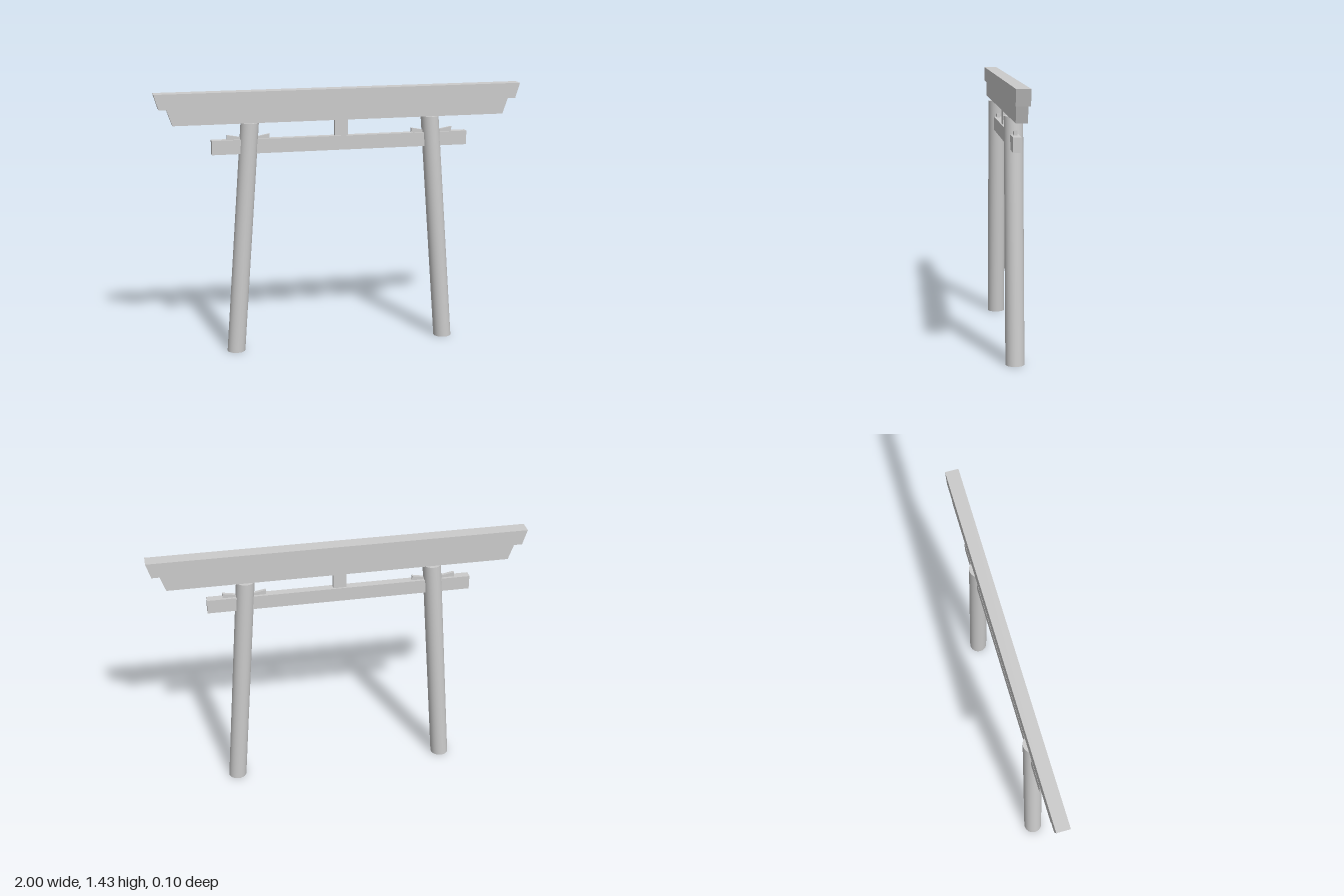
import * as THREE from 'three';

const material = new THREE.MeshStandardMaterial({ color: 0xcccccc });

function addPart(group, name, geometry) {
  const mesh = new THREE.Mesh(geometry, material);
  mesh.name = name;
  group.add(mesh);
  return mesh;
}

// Extrudes a front outline to a depth centred on z = 0
function slab(points, depth) {
  const shape = new THREE.Shape(points.map(([x, y]) => new THREE.Vector2(x, y)));
  const geometry = new THREE.ExtrudeGeometry(shape, { depth, bevelEnabled: false });
  return geometry.translate(0, 0, -depth / 2);
}

// Beam whose ends may flare outward towards the top
function beam(bottomHalf, topHalf, y0, y1, depth) {
  return slab([[-bottomHalf, y0], [bottomHalf, y0], [topHalf, y1], [-topHalf, y1]], depth);
}

// Round pillar sheared inward, keeping its ends level
function pillar(radius, height, xBottom, xTop) {
  const geometry = new THREE.CylinderGeometry(radius, radius, height, 24);
  geometry.translate(0, height / 2, 0);
  const lean = (xTop - xBottom) / height;
  const shear = new THREE.Matrix4().set(
    1, lean, 0, xBottom,
    0, 1, 0, 0,
    0, 0, 1, 0,
    0, 0, 0, 1
  );
  return geometry.applyMatrix4(shear);
}

export function createModel() {
  const group = new THREE.Group();
  group.name = 'gate';

  // Stacked top beams, tie beam and centre strut
  addPart(group, 'topBeam', beam(0.975, 1.0, 1.35, 1.432, 0.072));
  addPart(group, 'lowerTopBeam', beam(0.905, 0.935, 1.264, 1.35, 0.058));
  addPart(group, 'tieBeam', beam(0.702, 0.702, 1.1, 1.176, 0.042));
  addPart(group, 'centreStrut', beam(0.035, 0.035, 1.176, 1.264, 0.026));

  for (const [side, s] of [['left', 1], ['right', -1]]) {
    addPart(group, side + 'Pillar', pillar(0.049, 1.264, s * 0.591, s * 0.496));

    // Wedges driven into the pillar from both sides, above the tie beam
    for (const [place, xEnd] of [['Outer', 0.619], ['Inner', 0.391]]) {
      const tip = 0.503;
      const outline = [[s * tip, 1.176], [s * xEnd, 1.176], [s * xEnd, 1.201], [s * tip, 1.18]];
      addPart(group, side + place + 'Wedge', slab(outline, 0.016));
    }
  }
  return group;
}
